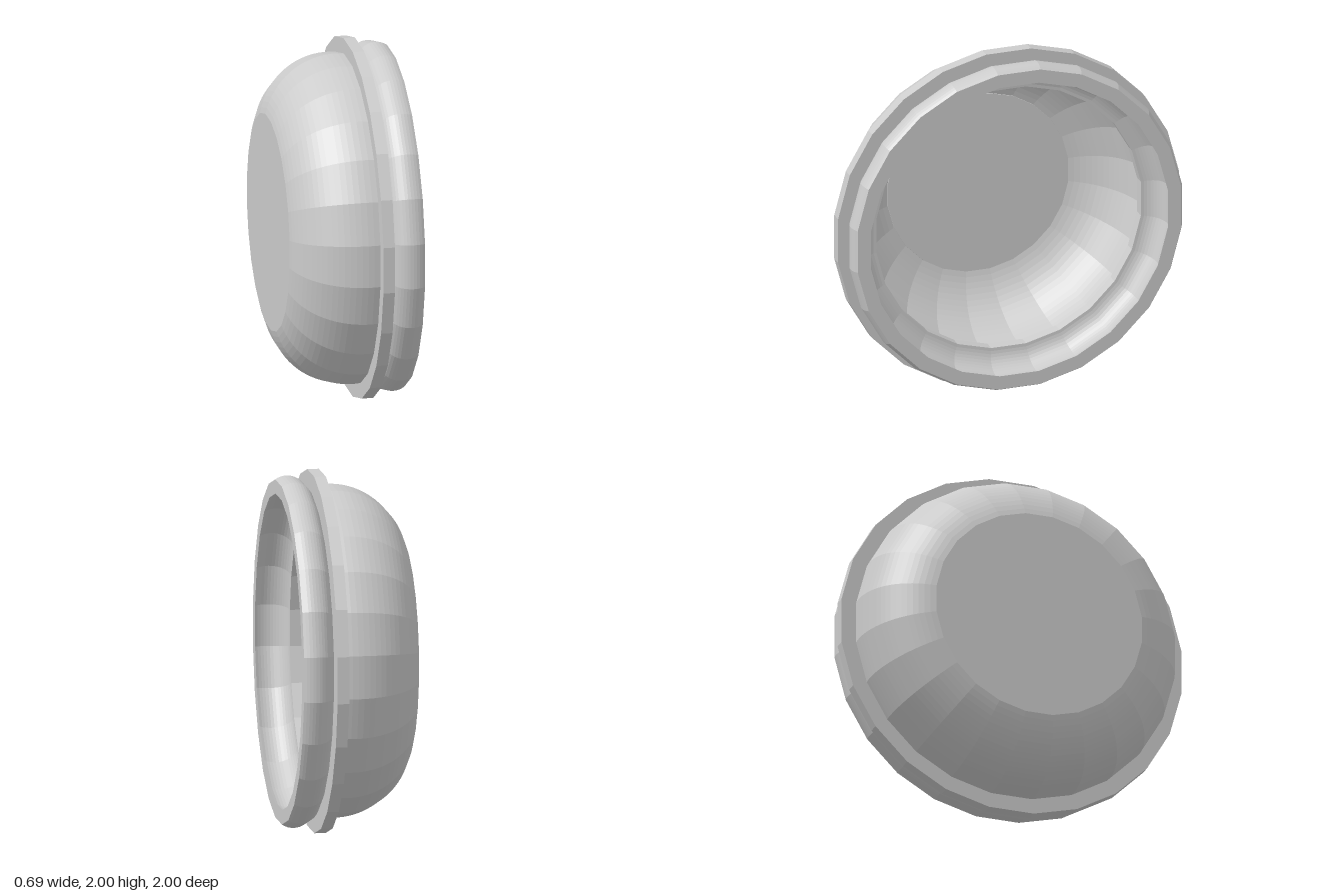
import * as THREE from 'three';

const SIDES = 24;
// radii are measured to the flat of each side
const FLAT = 1 / Math.cos(Math.PI / SIDES);

const material = new THREE.MeshStandardMaterial({
  color: 0xcccccc, flatShading: true, side: THREE.DoubleSide,
});

// Arc of [axial, radius] points around a centre, running towards +axial
function arc(cx, cr, r, from, to, steps) {
  return Array.from({ length: steps + 1 }, (_, i) => {
    const a = from + (to - from) * i / steps;
    return [cx + r * Math.cos(a), cr + r * Math.sin(a)];
  });
}

// The same curve moved inwards and reversed, for the inner wall
const innerWall = (curve, thickness) =>
  curve.map(([x, r]) => [x, r - thickness]).reverse();

// Faceted turned part whose axis lies along x
function turned(name, profile) {
  const points = profile.map(([x, r]) => new THREE.Vector2(r * FLAT, x));
  const geometry = new THREE.LatheGeometry(points, SIDES, Math.PI / SIDES);
  geometry.rotateZ(-Math.PI / 2);
  const mesh = new THREE.Mesh(geometry, material);
  mesh.name = name;
  return mesh;
}

export function createModel() {
  const group = new THREE.Group();
  group.name = 'flangedBowl';

  // Rounded bowl with a flat, thin floor
  const bowlArc = arc(0.05, 0.505, 0.412, Math.acos(-0.4 / 0.412), Math.acos(0.05 / 0.412), 18);
  group.add(turned('bowl', [
    [-0.35, 0], ...bowlArc, ...innerWall(bowlArc, 0.075), [-0.346, 0.528], [-0.346, 0],
  ]));

  // Thin flat flange around the mouth of the bowl
  group.add(turned('flange', [
    [0.1, 0.775], [0.1, 1], [0.165, 1], [0.165, 0.775], [0.1, 0.775],
  ]));

  // Bulging collar in front of the flange, cut off flat at the opening
  const collarArc = arc(0.28, 0.853, 0.115, Math.PI, Math.acos(0.065 / 0.115), 14);
  group.add(turned('collar', [
    ...collarArc, ...innerWall(collarArc, 0.078), collarArc[0],
  ]));

  group.position.y = 1;
  return group;
}
